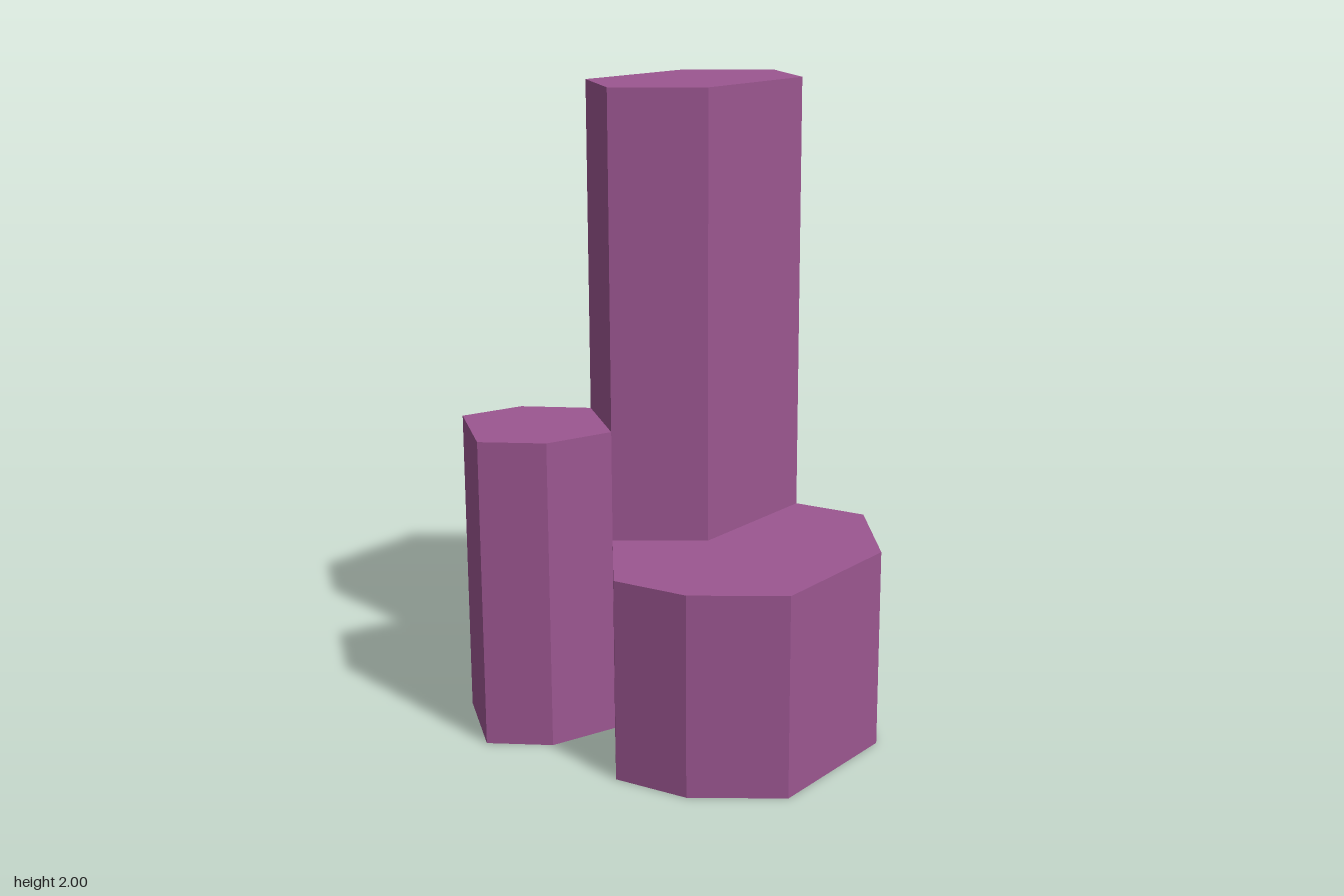
import * as THREE from 'three';

const material = new THREE.MeshStandardMaterial({ color: 0x9b5690, flatShading: true });

// Upright prism from a footprint of [x, z] corners
function prism(name, height, footprint) {
  const shape = new THREE.Shape(footprint.map(([x, z]) => new THREE.Vector2(x, -z)));
  const geometry = new THREE.ExtrudeGeometry(shape, { depth: height, bevelEnabled: false });
  geometry.rotateX(-Math.PI / 2);
  const mesh = new THREE.Mesh(geometry, material);
  mesh.name = name;
  return mesh;
}

export function createModel() {
  const group = new THREE.Group();
  group.name = 'prismCluster';

  // Corners of the tall hexagon, shared with its neighbours
  const back = [-0.11, -0.53], backLeft = [0.123, -0.353], frontLeft = [0.123, 0.12];
  const front = [-0.11, 0.297], frontRight = [-0.347, 0.12], backRight = [-0.347, -0.355];

  group.add(
    prism('tallColumn', 2, [back, backLeft, frontLeft, front, frontRight, backRight]),
    // Low block on the back right
    prism('lowBlock', 0.307, [back, backRight, frontRight, [-0.545, 0.02], [-0.545, -0.453], [-0.31, -0.63]]),
    // Slim column on the front right
    prism('slimColumn', 0.97, [front, frontRight, [-0.535, 0.24], [-0.6, 0.437], [-0.352, 0.625], [-0.18, 0.51]]),
    // Wide block on the left
    prism('wideBlock', 0.625, [backLeft, [0.36, -0.388], [0.6, -0.117], [0.6, 0.355], [0.363, 0.533], [0.125, 0.568], front, frontLeft]),
  );
  return group;
}
